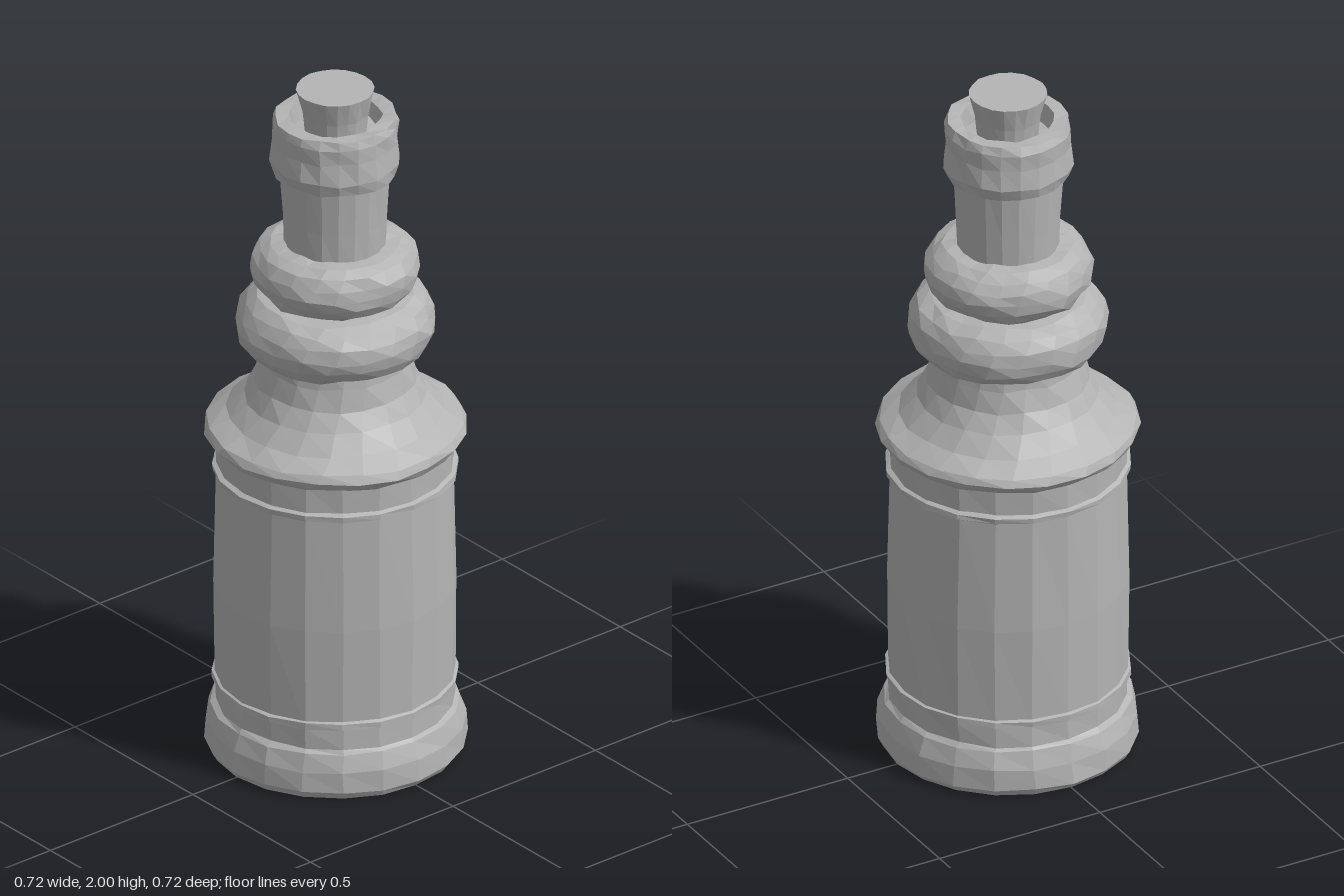
import * as THREE from 'three';

const SIDES = 20;

// Repeatable noise in -1..1 for a vertex
function noise(i, j, seed) {
  const s = Math.sin(i * 127.1 + j * 311.7 + seed * 74.7) * 43758.5453;
  return (s - Math.floor(s)) * 2 - 1;
}

// Turned part from [radius, height] points (bottom to top), roughened by a small hand-cut wobble
function turned(name, profile, material, wobble, seed, twist = 0) {
  const rows = profile.length;
  const geometry = new THREE.LatheGeometry(profile.map(([r, y]) => new THREE.Vector2(r, y)), SIDES);
  const pos = geometry.attributes.position;
  for (let k = 0; k < pos.count; k++) {
    const j = k % rows;
    const i = Math.floor(k / rows) % SIDES;
    const [r, y] = profile[j];
    if (r === 0) continue;
    const radius = r + noise(i, j, seed) * wobble;
    const angle = (i / SIDES) * Math.PI * 2 + noise(i, j, seed + 5) * wobble * 4 + j * twist;
    const fixed = y === 0 || y === 2;
    const height = fixed ? y : y + noise(i, j, seed + 9) * wobble;
    pos.setXYZ(k, Math.sin(angle) * radius, height, Math.cos(angle) * radius);
  }
  geometry.computeVertexNormals();
  const mesh = new THREE.Mesh(geometry, material);
  mesh.name = name;
  return mesh;
}

// Rounded ring profile, flattened a little on the outside
function ringProfile(inner, outer, bottom, top) {
  const points = [];
  const mid = (bottom + top) / 2;
  for (let k = 0; k <= 8; k++) {
    const a = -Math.PI / 2 + (k / 8) * Math.PI;
    points.push([
      inner + (outer - inner) * Math.pow(Math.max(Math.cos(a), 0), 0.7),
      mid + Math.sin(a) * (top - bottom) / 2,
    ]);
  }
  return points;
}

export function createModel() {
  const model = new THREE.Group();
  model.name = 'bottle';
  const grey = new THREE.MeshStandardMaterial({ color: 0xb4b4b4, flatShading: true, side: THREE.DoubleSide });
  grey.name = 'plain grey';

  // Foot, with a closed underside
  model.add(turned('base', [
    [0, 0], [0.345, 0], [0.357, 0.02], [0.354, 0.08], [0.338, 0.13], [0.326, 0.14], [0.326, 0.2],
  ], grey, 0.003, 1));

  // Straight body and its two thin bands
  model.add(turned('body', [[0.326, 0.2], [0.33, 0.5], [0.322, 0.85], [0.324, 0.94]], grey, 0.002, 2));
  for (const [name, y] of [['lowerBand', 0.213], ['upperBand', 0.85]]) {
    model.add(turned(name, [
      [0.315, y - 0.018], [0.334, y - 0.01], [0.335, y + 0.007], [0.315, y + 0.016],
    ], grey, 0.002, y * 10));
  }

  // Flared shoulder with an overhanging rim
  model.add(turned('shoulder', [
    [0.32, 0.93], [0.342, 0.945], [0.359, 0.968], [0.348, 0.99], [0.295, 1.02],
    [0.25, 1.07], [0.22, 1.12], [0.205, 1.18], [0.2, 1.24],
  ], grey, 0.004, 3, 0.05));

  // Two thick rings round the neck
  model.add(turned('lowerRing', ringProfile(0.15, 0.272, 1.2, 1.385), grey, 0.005, 4, 0.06));
  model.add(turned('upperRing', ringProfile(0.12, 0.231, 1.375, 1.54), grey, 0.005, 5, 0.06));

  // Neck, and the collar with its open mouth
  model.add(turned('neck', [[0.138, 1.5], [0.143, 1.62], [0.152, 1.78]], grey, 0.002, 6));
  model.add(turned('collar', [
    [0.14, 1.75], [0.168, 1.755], [0.177, 1.79], [0.171, 1.85], [0.171, 1.895],
    [0.163, 1.92], [0.128, 1.918], [0.115, 1.87], [0, 1.87],
  ], grey, 0.004, 7));

  // Tapered cork
  model.add(turned('cork', [[0.082, 1.86], [0.09, 1.93], [0.106, 2], [0, 2]], grey, 0.002, 8));

  return model;
}
